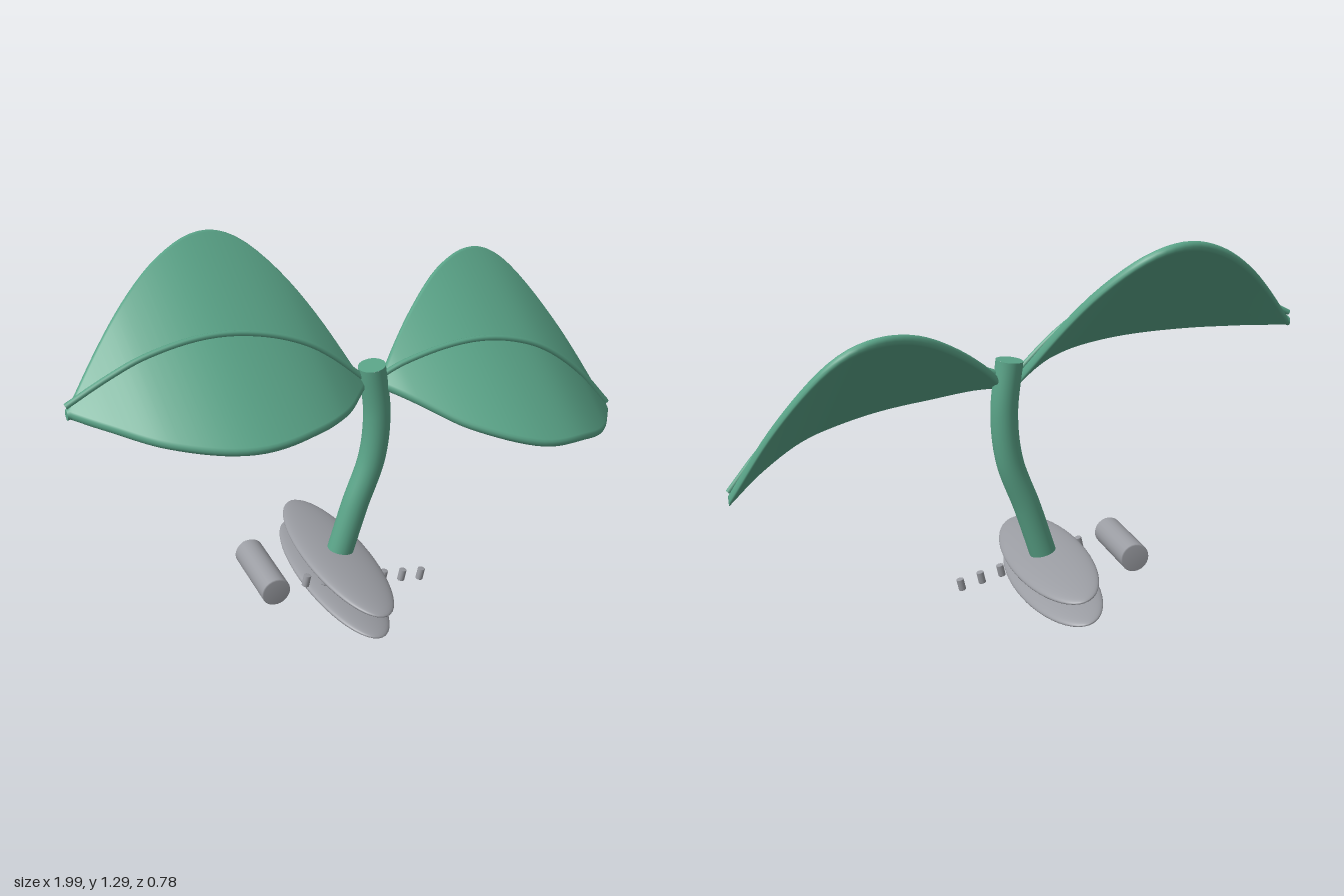
import * as THREE from 'three';

const TILT = Math.atan(0.69); // leaves slope down toward the front
const EDGE = 0.017;           // half thickness of a leaf

const green = new THREE.MeshStandardMaterial({ color: 0x5aa488 });
green.name = 'leafGreen';
const grey = new THREE.MeshStandardMaterial({ color: 0x9a9ca2 });
grey.name = 'pebbleGrey';

function part(name, geometry, material) {
  const mesh = new THREE.Mesh(geometry, material);
  mesh.name = name;
  return mesh;
}

function spline(pairs) {
  const s = new THREE.CubicInterpolant(pairs.map(p => p[0]), pairs.map(p => p[1]), 1);
  return x => s.evaluate(x)[0];
}

// reach of the leaf toward the back and front along its length
const backReach = spline([[0, 0.01], [0.2, 0.16], [0.4, 0.285], [0.6, 0.355], [0.7, 0.34], [0.8, 0.27], [0.9, 0.165], [1, 0.018]]);
const frontReach = spline([[0, 0.01], [0.1, 0.11], [0.25, 0.24], [0.5, 0.33], [0.75, 0.26], [0.88, 0.165], [1, 0.018]]);

// rounded plate section swept along the arched midrib
function leafBlade(ribY, x0, x1) {
  const rings = 48, arc = 6, n = 2 * (arc + 1);
  const pos = [], index = [];
  const c = Math.cos(TILT), s = Math.sin(TILT);
  for (let i = 0; i <= rings; i++) {
    const t = (1 - Math.cos(Math.PI * i / rings)) / 2;
    const x = x0 + (x1 - x0) * t;
    const y = ribY(x) - 0.04;
    for (const side of [0, 1]) {
      const reach = Math.max((side ? backReach(t) : frontReach(t)) - EDGE, 0.001);
      const zc = side ? -reach : reach;
      for (let k = 0; k <= arc; k++) {
        const a = Math.PI * (side - 0.5 + k / arc);
        const u = EDGE * Math.cos(a), v = EDGE * Math.sin(a);
        pos.push(x, y - 0.69 * zc - u * s + v * c, zc + u * c + v * s);
      }
    }
  }
  for (let i = 0; i < rings; i++) {
    for (let j = 0; j < n; j++) {
      const a = i * n + j, b = i * n + (j + 1) % n;
      index.push(a, a + n, b, b, a + n, b + n);
    }
  }
  // end caps
  const last = rings * n;
  for (let j = 1; j < n - 1; j++) {
    index.push(0, j, j + 1, last, last + j + 1, last + j);
  }
  const g = new THREE.BufferGeometry();
  g.setAttribute('position', new THREE.Float32BufferAttribute(pos, 3));
  g.setIndex(index);
  g.computeVertexNormals();
  return g;
}

function leaf(name, ribPoints) {
  const group = new THREE.Group();
  group.name = name;
  const ribY = spline(ribPoints);
  const x0 = ribPoints[0][0], x1 = ribPoints[ribPoints.length - 1][0];
  group.add(part('blade', leafBlade(ribY, x0, x1), green));
  const path = [];
  for (let i = 0; i <= 24; i++) {
    const x = x0 + (x1 - x0) * i / 24;
    path.push(new THREE.Vector3(x, ribY(x) - 0.01, 0));
  }
  group.add(part('midrib', new THREE.TubeGeometry(new THREE.CatmullRomCurve3(path), 48, 0.01, 8), green));
  return group;
}

// closed cylinder with soft shading over its ends
function softCylinder(r, length) {
  const h = length / 2;
  const profile = [[0, -h], [r * 0.93, -h], [r, -h + r * 0.1], [r, h - r * 0.1], [r * 0.93, h], [0, h]];
  return new THREE.LatheGeometry(profile.map(p => new THREE.Vector2(...p)), 24);
}

export function createModel() {
  const model = new THREE.Group();
  model.name = 'sprout';

  model.add(leaf('rightLeaf', [[-0.995, 0.96], [-0.87, 1.022], [-0.74, 1.073], [-0.52, 1.102], [-0.335, 1.068], [-0.185, 1.0], [-0.1, 0.935], [0, 0.838]]));
  model.add(leaf('leftLeaf', [[0.06, 0.825], [0.145, 0.858], [0.385, 0.892], [0.545, 0.868], [0.705, 0.797], [0.865, 0.66], [0.985, 0.515]]));

  // curved stem with a flat cap on top
  const stemPath = new THREE.CatmullRomCurve3([
    [-0.095, 0.13], [-0.03, 0.33], [0.035, 0.51], [0.053, 0.68], [0.034, 0.865],
  ].map(p => new THREE.Vector3(p[0], p[1], 0)));
  model.add(part('stem', new THREE.TubeGeometry(stemPath, 40, 0.047, 24), green));
  const cap = part('stemCap', new THREE.CircleGeometry(0.047, 24), green);
  cap.position.copy(stemPath.getPoint(1));
  cap.quaternion.setFromUnitVectors(new THREE.Vector3(0, 0, 1), stemPath.getTangent(1));
  model.add(cap);

  // two flat pebbles at the foot
  const lean = -0.23;
  [['upperDisc', -0.102, 0.133], ['lowerDisc', -0.118, 0.05]].forEach(([name, x, y]) => {
    const disc = part(name, new THREE.SphereGeometry(1, 48, 32), grey);
    disc.scale.set(0.133, 0.03, 0.39);
    disc.position.set(x, y, 0);
    disc.rotation.z = lean;
    model.add(disc);
  });

  // row of small pegs
  for (let i = 0; i < 7; i++) {
    const peg = part('peg', softCylinder(0.013, 0.042), grey);
    peg.position.set(-0.255 + i * 0.0735, 0.132 - i * 0.0172, 0.092);
    peg.rotation.z = lean;
    model.add(peg);
  }

  // loose roller beside the foot
  const roller = part('roller', softCylinder(0.051, 0.27), grey);
  roller.position.set(-0.382, 0.147, 0);
  roller.rotation.x = Math.PI / 2;
  model.add(roller);

  return model;
}
